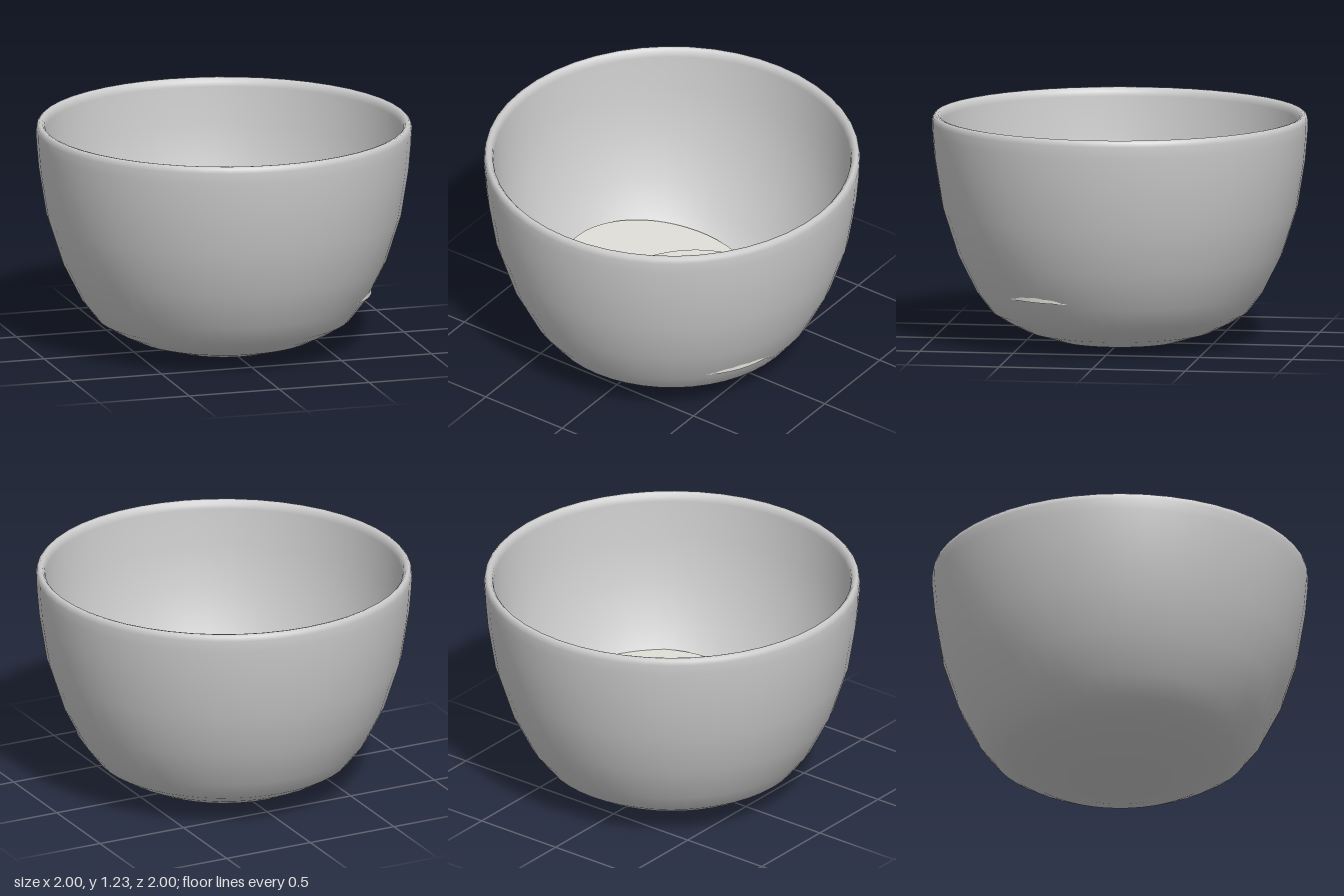
import * as THREE from 'three';

const bowlMaterial = new THREE.MeshStandardMaterial({ color: 0xcccccc });
const discMaterial = new THREE.MeshStandardMaterial({ color: 0xe0dfd8 });

// Flat round slab given by the centre of its top face, leaning along a normal
function makeDisc(name, x, topY, z, normal) {
  const height = 0.09;
  const n = normal.normalize();
  const disc = new THREE.Mesh(new THREE.CylinderGeometry(0.52, 0.52, height, 96), discMaterial);
  disc.name = name;
  disc.quaternion.setFromUnitVectors(new THREE.Vector3(0, 1, 0), n);
  disc.position.set(x, topY, z).addScaledVector(n, -height / 2);
  return disc;
}

export function createModel() {
  const model = new THREE.Group();
  model.name = 'bowlWithDiscs';

  // Bowl wall: up the outside, over the rounded rim, down the inside
  const profile = [
    [0, 0], [0.22, 0.004], [0.34, 0.02], [0.5, 0.07], [0.6, 0.12], [0.68, 0.17],
    [0.765, 0.28], [0.865, 0.48], [0.945, 0.73], [0.985, 0.98], [0.998, 1.13],
    [1, 1.19], [0.995, 1.213], [0.983, 1.225], [0.968, 1.222], [0.955, 1.205], [0.95, 1.18],
    [0.935, 0.98], [0.895, 0.74], [0.815, 0.5], [0.715, 0.31], [0.64, 0.21],
    [0.57, 0.16], [0.48, 0.12], [0.33, 0.07], [0.21, 0.055], [0, 0.05],
  ].map(([r, y]) => new THREE.Vector2(r, y));
  const bowl = new THREE.Mesh(new THREE.LatheGeometry(profile, 48), bowlMaterial);
  bowl.name = 'bowl';
  model.add(bowl);

  // Lower disc leans on the wall, upper disc lies level across it
  model.add(
    makeDisc('lowerDisc', -0.15, 0.31, -0.1, new THREE.Vector3(0.12, 1, -0.12)),
    makeDisc('upperDisc', 0.24, 0.395, 0.12, new THREE.Vector3(0, 1, 0)),
  );
  return model;
}
